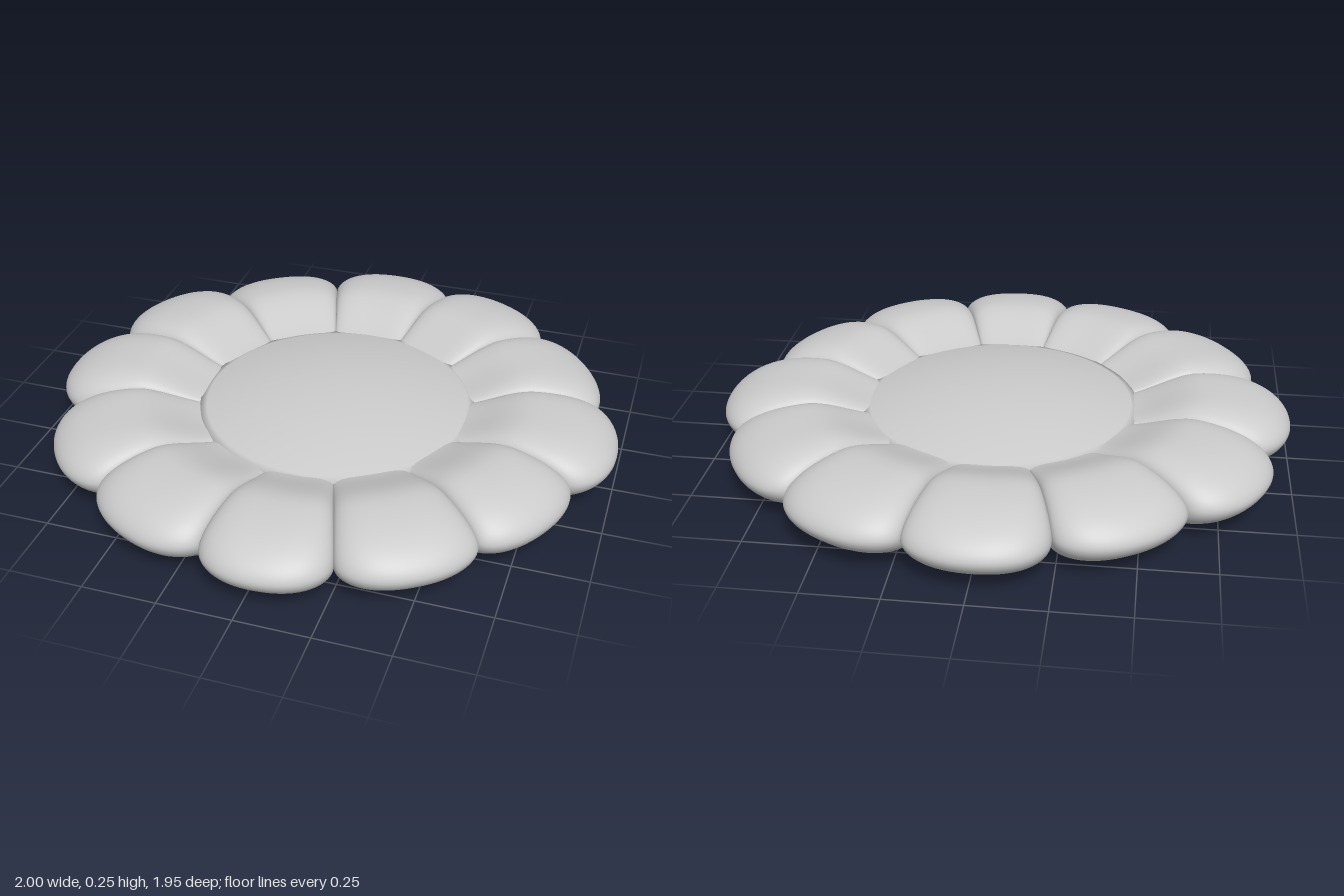
import * as THREE from 'three';

const MID = 0.127;   // height of the seam plane
const HALF = 0.116;  // half thickness of a plump petal

// Notches between petals (x, z), clockwise seen from above, and the tip radius of the petal after each
const NOTCHES = [
  [-0.24, -0.81], [0.21, -0.86], [0.61, -0.64], [0.88, -0.26], [0.86, 0.2], [0.65, 0.58],
  [0.26, 0.81], [-0.16, 0.84], [-0.58, 0.65], [-0.83, 0.25], [-0.86, -0.2], [-0.64, -0.6],
];
const TIPS = [0.98, 0.985, 0.98, 1.0, 0.95, 0.96, 0.97, 0.955, 0.98, 1.0, 1.0, 0.955];
const LIFTS = [0.0, 0.003, -0.004, 0.0, 0.004, 0.003, 0.0, -0.003, -0.005, 0.002, 0.004, -0.002];

function petalGeometry(index) {
  const [x0, z0] = NOTCHES[index];
  const [x1, z1] = NOTCHES[(index + 1) % NOTCHES.length];
  const a0 = Math.atan2(z0, x0);
  let a1 = Math.atan2(z1, x1);
  if (a1 < a0) a1 += Math.PI * 2;
  const r0 = Math.hypot(x0, z0), r1 = Math.hypot(x1, z1);
  const cols = 32, rows = 48, inner = 0.38;
  const positions = [], indices = [];

  for (let i = 0; i <= cols; i++) {
    // Columns crowd towards the creases on both sides
    const u = -Math.cos((i / cols) * Math.PI);
    const angle = THREE.MathUtils.lerp(a0, a1, (u + 1) / 2);
    const notch = THREE.MathUtils.lerp(r0, r1, (u + 1) / 2);
    const round = Math.pow(Math.max(0, 1 - Math.pow(Math.abs(u), 2.3)), 0.6);
    const outer = notch + (TIPS[index] - notch) * round;
    const groove = 0.6 + 0.4 * Math.sqrt(Math.max(0, 1 - Math.pow(u, 4)));
    const lift = LIFTS[index] * (1 - u * u);

    for (let j = 0; j <= rows; j++) {
      // Section runs from the inner top, around the tip, to the inner bottom
      const phi = (j / rows) * Math.PI;
      const t = Math.sin(phi);
      const r = inner + (outer - inner) * t;
      const rise = 0.03 + (HALF - 0.03) * THREE.MathUtils.smoothstep(r, 0.4, 0.7);
      const k = Math.max(0, (t - 0.5) / 0.5);
      const cap = Math.pow(Math.max(0, 1 - Math.pow(k, 2.2)), 0.55);
      const side = j < rows / 2 ? 1 : -1;
      const x = r * Math.cos(angle), z = r * Math.sin(angle);
      let y = MID + lift + side * rise * cap * groove;
      // Small sag under the front
      if (side < 0) y -= 0.035 * cap * Math.exp(-((x + 0.11) ** 2 + (z - 0.66) ** 2) / 0.006);
      positions.push(x, Math.max(0, y), z);
    }
  }
  for (let i = 0; i < cols; i++) {
    for (let j = 0; j < rows; j++) {
      const a = i * (rows + 1) + j, b = a + rows + 1;
      indices.push(a, b, a + 1, b, b + 1, a + 1);
    }
  }
  const geometry = new THREE.BufferGeometry();
  geometry.setAttribute('position', new THREE.Float32BufferAttribute(positions, 3));
  geometry.setIndex(indices);
  geometry.computeVertexNormals();
  return geometry;
}

// Lens-shaped centre, domed on both faces
function centreGeometry() {
  const rim = 0.485, steps = 20, profile = [];
  const dome = (r) => 0.106 * (1 - (r / 0.6) ** 2);
  for (let i = 0; i <= steps; i++) {
    const r = (rim * i) / steps;
    profile.push(new THREE.Vector2(r, -dome(r)));
  }
  for (let i = steps; i >= 0; i--) {
    const r = (rim * i) / steps;
    profile.push(new THREE.Vector2(r, dome(r)));
  }
  return new THREE.LatheGeometry(profile, 72);
}

export function createModel() {
  const model = new THREE.Group();
  model.name = 'flowerCushion';
  const material = new THREE.MeshStandardMaterial({ color: 0xcccccc });

  // Ring of petals
  const petals = new THREE.Group();
  petals.name = 'petals';
  NOTCHES.forEach((_, i) => {
    const petal = new THREE.Mesh(petalGeometry(i), material);
    petal.name = `petal${i + 1}`;
    petals.add(petal);
  });

  // Round centre
  const centre = new THREE.Mesh(centreGeometry(), material);
  centre.name = 'centre';
  centre.position.set(0.015, MID, -0.005);

  model.add(petals, centre);
  return model;
}
